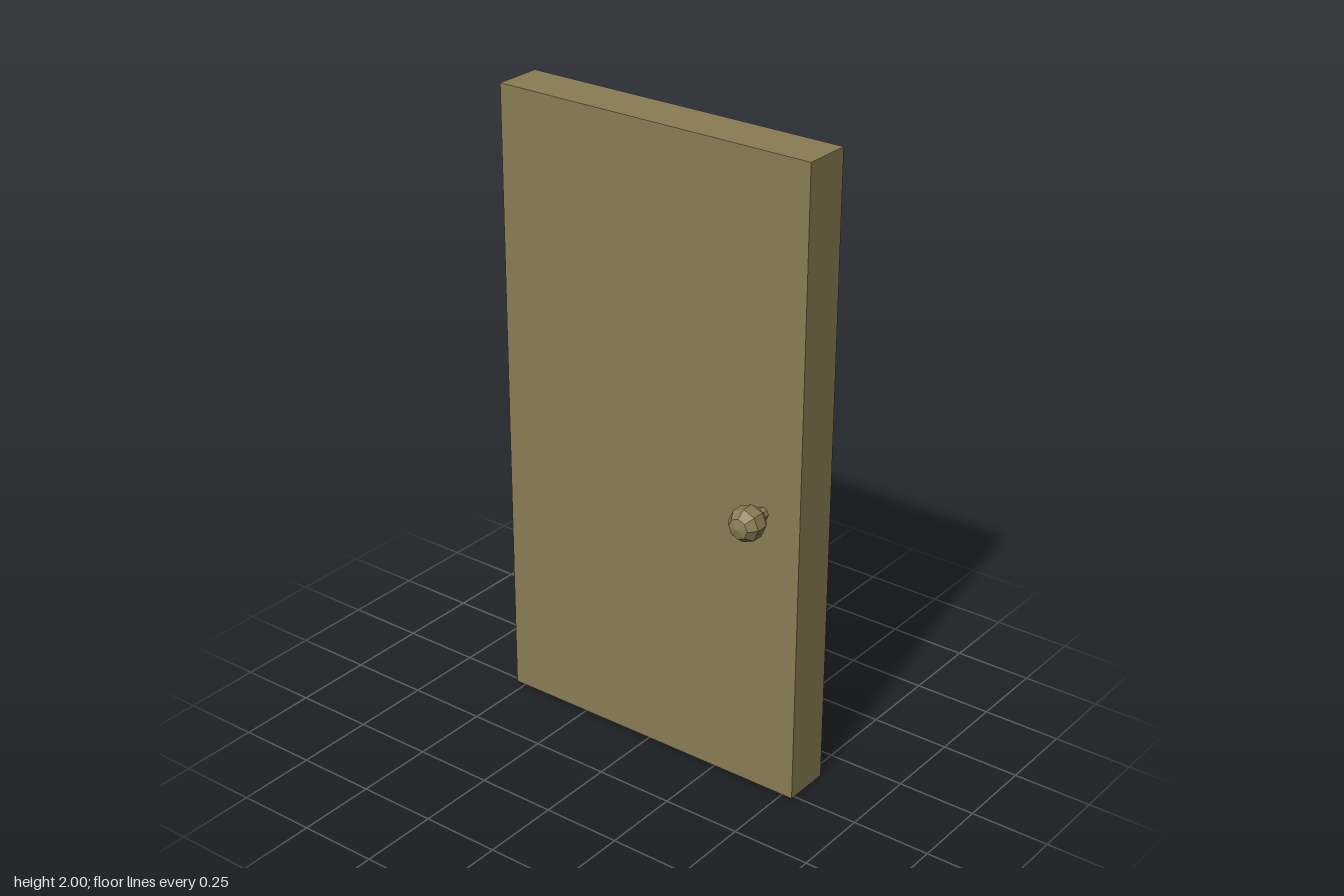
import * as THREE from 'three';

export function createModel() {
  const model = new THREE.Group();
  model.name = 'door';
  const material = new THREE.MeshStandardMaterial({ color: 0x8a7d54, flatShading: true });

  // Door slab
  const slab = new THREE.Mesh(new THREE.BoxGeometry(0.153, 2, 1.07), material);
  slab.name = 'doorSlab';
  slab.position.set(0.0635, 1, 0);
  model.add(slab);

  // Eight-sided knob and stem, turned about an axis pointing out of the door
  const turned = (name, profile) => {
    const points = profile.map(([r, d]) => new THREE.Vector2(r, d));
    const mesh = new THREE.Mesh(new THREE.LatheGeometry(points, 8), material);
    mesh.name = name;
    return mesh;
  };
  const handle = new THREE.Group();
  handle.name = 'doorHandle';
  handle.position.set(-0.013, 0.92, 0.407);
  handle.rotation.z = Math.PI / 2;
  handle.add(
    turned('stem', [[0.02, 0], [0.02, 0.034]]),
    turned('knob', [[0, 0.032], [0.035, 0.032], [0.052, 0.056], [0.052, 0.094], [0.032, 0.12], [0, 0.128]])
  );
  model.add(handle);
  return model;
}
